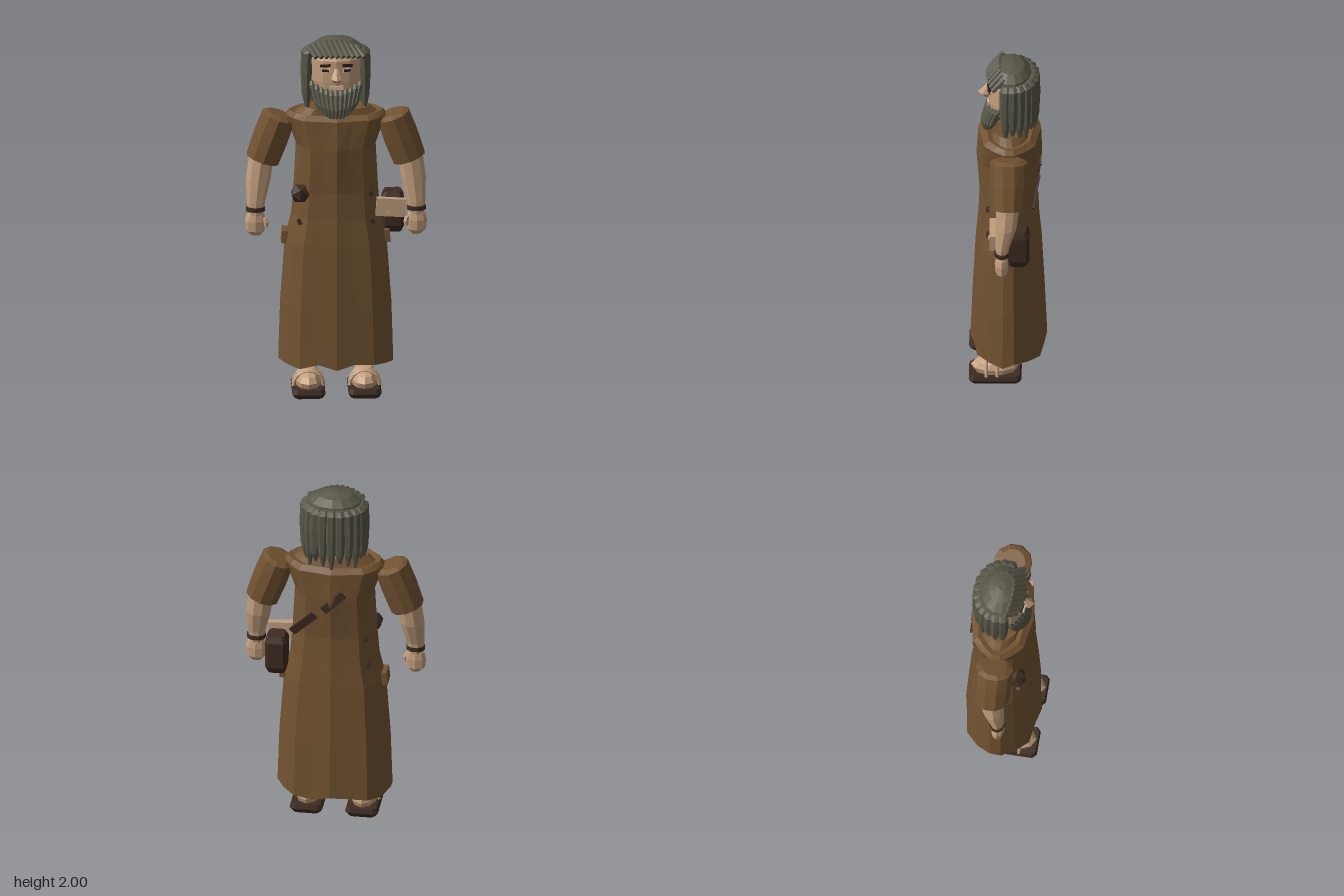
import * as THREE from 'three';

const mat = (name, color, extra = {}) => Object.assign(
  new THREE.MeshStandardMaterial({ color, flatShading: true, ...extra }), { name });

export function createModel() {
  const root = new THREE.Group();
  root.name = 'robedFigure';
  const cloth = mat('brown cloth', 0x725331, { side: THREE.DoubleSide });
  const skin = mat('skin', 0xc4a07e);
  const hair = mat('grey hair', 0x595748);
  const leather = mat('dark leather', 0x3d2b21);
  const paper = mat('pale parchment', 0xbf9d7e);
  const ink = mat('dark eye', 0x221d1a);
  const lip = mat('pale lip', 0xd8b596);

  const add = (name, geo, material, parent = root) => {
    const m = new THREE.Mesh(geo, material);
    m.name = name;
    parent.add(m);
    return m;
  };

  const circle = n => Array.from({ length: n }, (_, i) => {
    const a = (i / n) * Math.PI * 2;
    return [Math.sin(a), Math.cos(a)];
  });

  // Joins horizontal rings [x, y, z, rx, rz], listed from bottom to top
  function loft(rings, shape = circle(8), capBottom = true, jag = 0) {
    const n = shape.length, pos = [], idx = [];
    rings.forEach(([x, y, z, rx, rz = rx], k) => shape.forEach(([u, v], i) => {
      const dy = k === 0 ? jag * ((i * 7) % 4) : 0;
      pos.push(x + u * rx, y + dy, z + v * rz);
    }));
    for (let k = 0; k < rings.length - 1; k++) for (let i = 0; i < n; i++) {
      const a = k * n + i, b = k * n + (i + 1) % n;
      idx.push(a, b, b + n, a, b + n, a + n);
    }
    const cap = (k, up) => {
      const c = pos.length / 3;
      pos.push(...rings[k].slice(0, 3));
      for (let i = 0; i < n; i++) {
        const a = k * n + i, b = k * n + (i + 1) % n;
        idx.push(c, up ? a : b, up ? b : a);
      }
    };
    if (capBottom) cap(0, false);
    cap(rings.length - 1, true);
    const g = new THREE.BufferGeometry();
    g.setAttribute('position', new THREE.Float32BufferAttribute(pos, 3));
    g.setIndex(idx);
    const flat = g.toNonIndexed();
    flat.computeVertexNormals();
    return flat;
  }

  // Stands a vertical geometry between two points
  function between(mesh, from, to) {
    const a = new THREE.Vector3(...from), b = new THREE.Vector3(...to);
    mesh.position.copy(a).add(b).multiplyScalar(0.5);
    mesh.quaternion.setFromUnitVectors(new THREE.Vector3(0, 1, 0), b.sub(a).normalize());
    return mesh;
  }
  const span = (a, b) => new THREE.Vector3(...a).distanceTo(new THREE.Vector3(...b));

  const box = (name, w, h, d, x, y, z, material, ry = 0, rz = 0) => {
    const m = add(name, new THREE.BoxGeometry(w, h, d), material);
    m.position.set(x, y, z);
    m.rotation.set(0, ry, rz);
    return m;
  };

  // Robe: flat-fronted folds, open jagged hem, shoulders closing on the neck
  const q = [[0, 1], [0.32, 0.9], [0.65, 0.82], [0.86, 0.5], [1, 0.15]];
  const right = [...q, ...q.map(([u, v]) => [u, -v]).reverse()];
  const fold = [...right, ...right.slice(1, -1).map(([u, v]) => [-u, v]).reverse()];
  add('robe', loft([
    [0, 0.16, 0, 0.31, 0.208], [0, 0.5, 0, 0.3, 0.195], [0, 0.85, 0, 0.275, 0.178],
    [0, 1.0, 0, 0.24, 0.165], [0, 1.15, 0, 0.228, 0.158], [0, 1.4, -0.003, 0.215, 0.178],
    [0, 1.56, -0.005, 0.27, 0.17], [0, 1.585, -0.005, 0.25, 0.135],
    [0, 1.575, -0.005, 0.22, 0.11], [0, 1.61, 0, 0.18, 0.1], [0, 1.6, 0, 0.07, 0.06],
  ], fold, false, 0.009), cloth);

  // Limbs, mirrored left and right
  for (const s of [1, -1]) {
    const side = s > 0 ? 'left' : 'right';
    const part = (n) => side + n;

    const sleeve = add(part('Sleeve'), loft([
      [0, -0.135, 0, 0.093, 0.092], [0, 0.0, 0, 0.098, 0.1],
      [0, 0.125, 0, 0.094, 0.104], [0, 0.14, 0, 0.07, 0.07],
    ], circle(10)), cloth);
    sleeve.position.set(s * 0.352, 1.432, -0.003);
    sleeve.rotation.z = s * 0.345;

    add(part('Arm'), loft([
      [s * 0.435, 1.0, 0.035, 0.04, 0.033], [s * 0.434, 1.07, 0.032, 0.05, 0.038],
      [s * 0.42, 1.2, 0.01, 0.068, 0.058], [s * 0.402, 1.34, 0, 0.068, 0.066],
    ], circle(9)), skin);
    add(part('WristBand'), loft([
      [s * 0.436, 1.022, 0.034, 0.052, 0.042], [s * 0.436, 1.046, 0.034, 0.052, 0.042],
    ], circle(9)), leather);
    add(part('Hand'), loft([
      [s * 0.434, 0.885, 0.036, 0.025, 0.018], [s * 0.437, 0.91, 0.036, 0.05, 0.033],
      [s * 0.437, 0.965, 0.036, 0.056, 0.037], [s * 0.436, 1.0, 0.035, 0.048, 0.033],
      [s * 0.435, 1.02, 0.035, 0.035, 0.028],
    ], circle(8)), skin);
    add(part('Thumb'), loft([
      [s * 0.38, 0.935, 0.05, 0.012], [s * 0.378, 0.96, 0.05, 0.016],
      [s * 0.386, 0.985, 0.048, 0.012],
    ], circle(6)), skin);

    // Leg, foot and sandal
    add(part('Leg'), loft([
      [s * 0.15, 0.1, -0.005, 0.04, 0.034], [s * 0.15, 0.2, -0.005, 0.05, 0.042],
      [s * 0.15, 0.5, -0.005, 0.062, 0.055],
    ]), skin);
    add(part('AnkleStrap'), loft([
      [s * 0.15, 0.135, -0.005, 0.05, 0.044], [s * 0.15, 0.15, -0.005, 0.05, 0.044],
    ]), paper);
    const block = [[0.75, 1], [1, 0.85], [1, -0.85], [0.75, -1],
      [-0.75, -1], [-1, -0.85], [-1, 0.85], [-0.75, 1]];
    add(part('Sole'), loft([
      [s * 0.152, 0, 0.072, 0.075, 0.132], [s * 0.152, 0.025, 0.072, 0.09, 0.143],
      [s * 0.152, 0.05, 0.072, 0.08, 0.135],
    ], block), leather);
    add(part('Foot'), loft([
      [s * 0.152, 0.045, 0.072, 0.068, 0.115], [s * 0.152, 0.08, 0.072, 0.074, 0.132],
      [s * 0.152, 0.11, 0.062, 0.06, 0.115], [s * 0.152, 0.135, 0.035, 0.038, 0.07],
    ], circle(10)), skin);
    for (const [z, r] of [[0.06, 0.072], [0.12, 0.073]]) {
      const strap = add(part('SandalStrap'),
        new THREE.TorusGeometry(r, 0.009, 4, 8, Math.PI), paper);
      strap.position.set(s * 0.152, 0.05, z);
      strap.scale.set(1.12, 1.12, 1);
    }

    // Face features that come in pairs
    add(part('Ear'), loft([
      [s * 0.146, 1.775, 0.01, 0.01, 0.015], [s * 0.152, 1.815, 0.01, 0.018, 0.026],
      [s * 0.15, 1.845, 0.01, 0.012, 0.02],
    ], circle(6)), skin);
    box(part('Eyebrow'), 0.056, 0.014, 0.009, s * 0.06, 1.867, 0.107, ink, s * 0.26, s * -0.12);
    box(part('EyeLid'), 0.046, 0.02, 0.006, s * 0.058, 1.838, 0.104, lip, s * 0.26);
    box(part('Eye'), 0.038, 0.013, 0.009, s * 0.058, 1.839, 0.106, ink, s * 0.26);
  }

  // Head, neck, nose and mouth
  add('neck', loft([[0, 1.55, -0.01, 0.07, 0.06], [0, 1.7, 0, 0.062, 0.058]]), skin);
  add('head', loft([
    [0, 1.64, 0.02, 0.07, 0.06], [0, 1.69, 0.01, 0.115, 0.095], [0, 1.77, 0, 0.143, 0.113],
    [0, 1.89, 0, 0.145, 0.115], [0, 1.94, 0, 0.11, 0.09],
  ], circle(12)), skin);
  add('nose', loft([
    [0, 1.775, 0.115, 0.022, 0.02], [0, 1.797, 0.12, 0.032, 0.047], [0, 1.85, 0.108, 0.012, 0.014],
  ], circle(6)), skin);
  box('mouth', 0.075, 0.022, 0.009, 0, 1.742, 0.112, lip);

  // Hair: crown, hanging locks and a swept fringe
  add('hairCrown', loft([
    [0, 1.905, -0.015, 0.152, 0.112], [0, 1.945, -0.012, 0.143, 0.108],
    [0, 1.98, -0.01, 0.095, 0.075], [0, 1.998, -0.01, 0.025, 0.02],
  ], circle(14)), hair);
  const locks = 13;
  for (let i = 0; i < locks; i++) {
    const a = THREE.MathUtils.degToRad(78 + (204 * i) / (locks - 1));
    const at = k => [Math.sin(a) * 0.155 * k, -0.01 + Math.cos(a) * 0.128 * k];
    const ring = (y, k, r) => [at(k)[0], y, at(k)[1], r];
    add('hairLock', loft([
      ring(1.575 + 0.02 * ((i * 5) % 3), 1.02, 0.008), ring(1.67, 1.04, 0.024),
      ring(1.8, 1.03, 0.032), ring(1.915, 1, 0.033), ring(1.935, 0.9, 0.02),
    ], circle(7)), hair);
  }
  for (let i = 0; i < 10; i++) {
    const t = i / 4.5 - 1, drop = 0.035 * t * t;
    const from = [0.125 * t - 0.02, 1.985 - drop, 0.045 - 0.02 * t * t];
    const to = [0.13 * t + 0.022, 1.918 - drop * 0.3, 0.118 - 0.03 * t * t];
    between(add('fringeLock',
      new THREE.CylinderGeometry(0.019, 0.014, span(from, to), 6).rotateX(Math.PI), hair), from, to);
  }

  // Beard: a chin mass faced with a fan of locks
  add('beardCore', loft([
    [0, 1.585, 0.115, 0.045, 0.018], [0, 1.65, 0.085, 0.105, 0.03], [0, 1.71, 0.055, 0.125, 0.05],
  ], circle(10)), hair);
  for (let i = -5; i <= 5; i++) {
    const t = i / 5, c = t * t;
    add('beardLock', loft([
      [0.085 * t, 1.567 + 0.045 * c, 0.136 - 0.035 * c, 0.009],
      [0.105 * t, 1.625 + 0.025 * c, 0.134 - 0.045 * c, 0.018],
      [0.13 * t, 1.7 + 0.045 * c, 0.112 - 0.05 * c, 0.017],
      [0.132 * t, 1.725 + 0.04 * c, 0.1 - 0.05 * c, 0.01],
    ], circle(6)), hair);
  }

  // Shoulder bag on the left hip, its strap showing on the back
  add('bag', loft([
    [0.31, 0.88, -0.05, 0.045, 0.045], [0.31, 0.92, -0.05, 0.06, 0.065],
    [0.31, 1.07, -0.05, 0.06, 0.065], [0.31, 1.105, -0.05, 0.045, 0.048],
  ], [[0.7, 1], [1, 0.7], [1, -0.7], [0.7, -1], [-0.7, -1], [-1, -0.7], [-1, 0.7], [-0.7, 1]]), leather);
  for (const [from, to] of [
    [[0.215, 1.17, -0.132], [0.09, 1.3, -0.166]],
    [[0.04, 1.335, -0.172], [-0.07, 1.44, -0.168]],
  ]) between(add('bagStrap', new THREE.BoxGeometry(0.045, span(from, to), 0.012), leather), from, to);

  // Book tucked at the hip, with a round clasp
  box('book', 0.16, 0.1, 0.035, 0.295, 1.052, 0.085, paper, 0, -0.06);
  const clasp = add('bookClasp', new THREE.CylinderGeometry(0.013, 0.013, 0.009, 8).rotateX(Math.PI / 2), paper);
  clasp.position.set(0.28, 1.018, 0.106);

  // Belt knot on the right and belt ends poking from the folds
  const knot = add('beltKnot', new THREE.IcosahedronGeometry(0.058, 0), leather);
  knot.position.set(-0.195, 1.14, 0.1);
  for (const [x, y, z] of [[0.185, 1.14, 0.112], [-0.2, 0.98, 0.11], [0.195, 0.98, 0.112],
    [-0.185, 1.14, -0.112], [-0.2, 0.98, -0.11]]) box('beltEnd', 0.018, 0.03, 0.02, x, y, z, leather, 0, 0.5);

  // Pocket flaps at the hips
  for (const s of [1, -1]) box('pocketFlap', 0.03, 0.07, 0.1, s * 0.278, 0.87, -0.01, cloth, 0, s * 0.1);

  return root;
}
